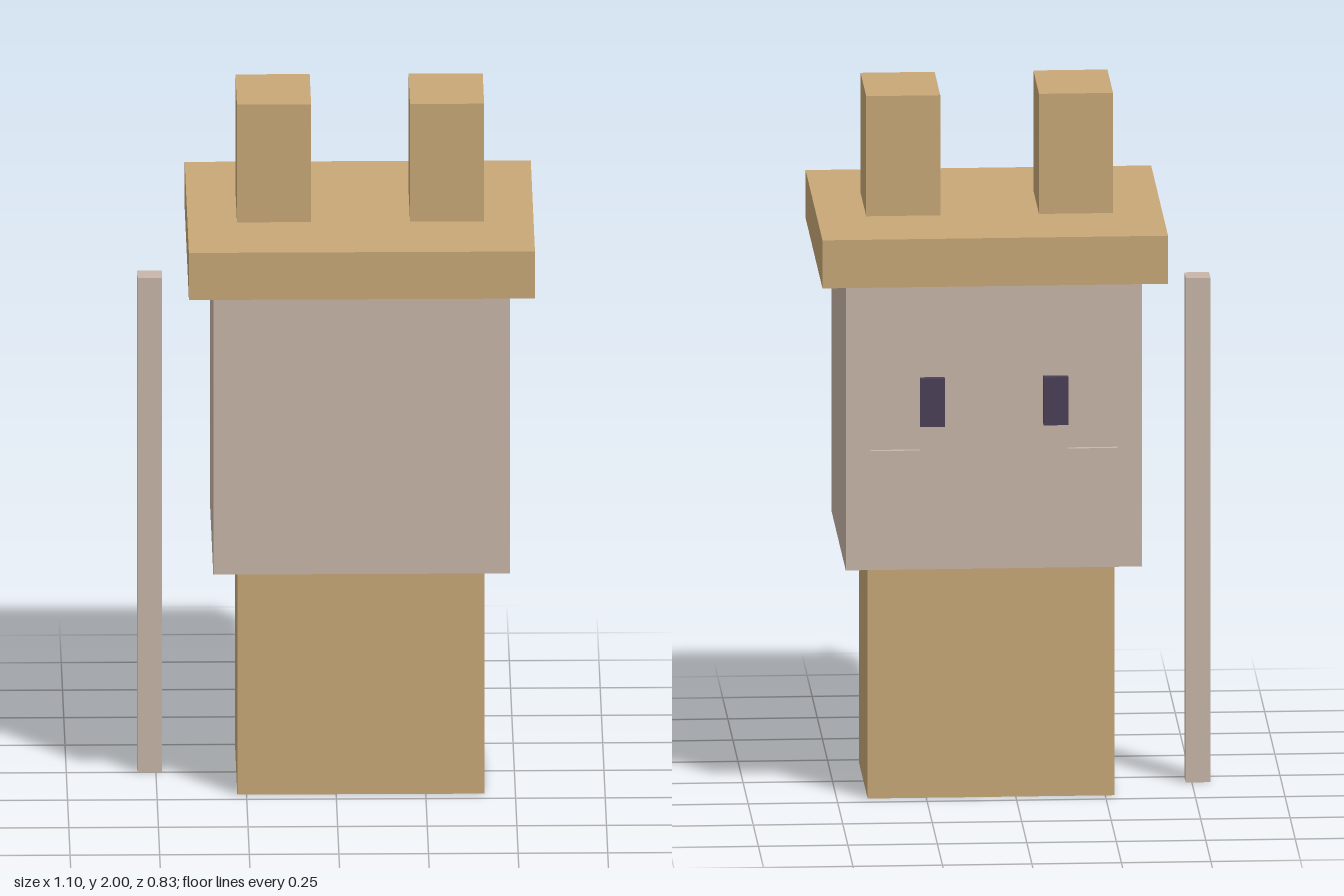
import * as THREE from 'three';

// One block unit: the figure is 29 units tall
const U = 2 / 29;

export function createModel() {
  const model = new THREE.Group();
  model.name = 'blockFigure';

  const material = (name, color) => {
    const m = new THREE.MeshStandardMaterial({ color });
    m.name = name;
    return m;
  };
  const tan = material('tan', 0xc8a878);
  const paleClay = material('paleClay', 0xc8b6a8);
  const darkPlum = material('darkPlum', 0x4a3f58);

  // Box from its min and max corners in block units
  const block = (name, mat, [x0, y0, z0], [x1, y1, z1]) => {
    const mesh = new THREE.Mesh(
      new THREE.BoxGeometry((x1 - x0) * U, (y1 - y0) * U, (z1 - z0) * U), mat);
    mesh.position.set((x0 + x1) / 2, (y0 + y1) / 2, (z0 + z1) / 2).multiplyScalar(U);
    mesh.name = name;
    model.add(mesh);
  };

  // Body, head and hat, all centred on x = 1 unit
  block('body', tan, [-4, 0, -3], [6, 10, 3]);
  block('head', paleClay, [-5, 10, -5], [7, 22, 5]);
  block('hatBrim', tan, [-6, 22, -6], [8, 24, 6]);

  // Paired ears, eyes and cheeks; the face looks toward -z
  for (const [side, s] of [['left', 1], ['right', -1]]) {
    const pair = (name, mat, offset, halfWidth, y0, y1, z0, z1) => {
      const x = 1 + s * offset;
      block(side + name, mat, [x - halfWidth, y0, z0], [x + halfWidth, y1, z1]);
    };
    pair('Ear', tan, 3.5, 1.5, 24, 29, -2, 2);
    pair('Eye', darkPlum, 2.5, 0.5, 16, 18, -5.3, -5);
    pair('Cheek', paleClay, 4, 1, 14, 15, -5.2, -5);
  }

  // Free-standing staff at the right side
  block('staff', paleClay, [-8, 0, -1], [-7, 21, 0]);

  return model;
}
